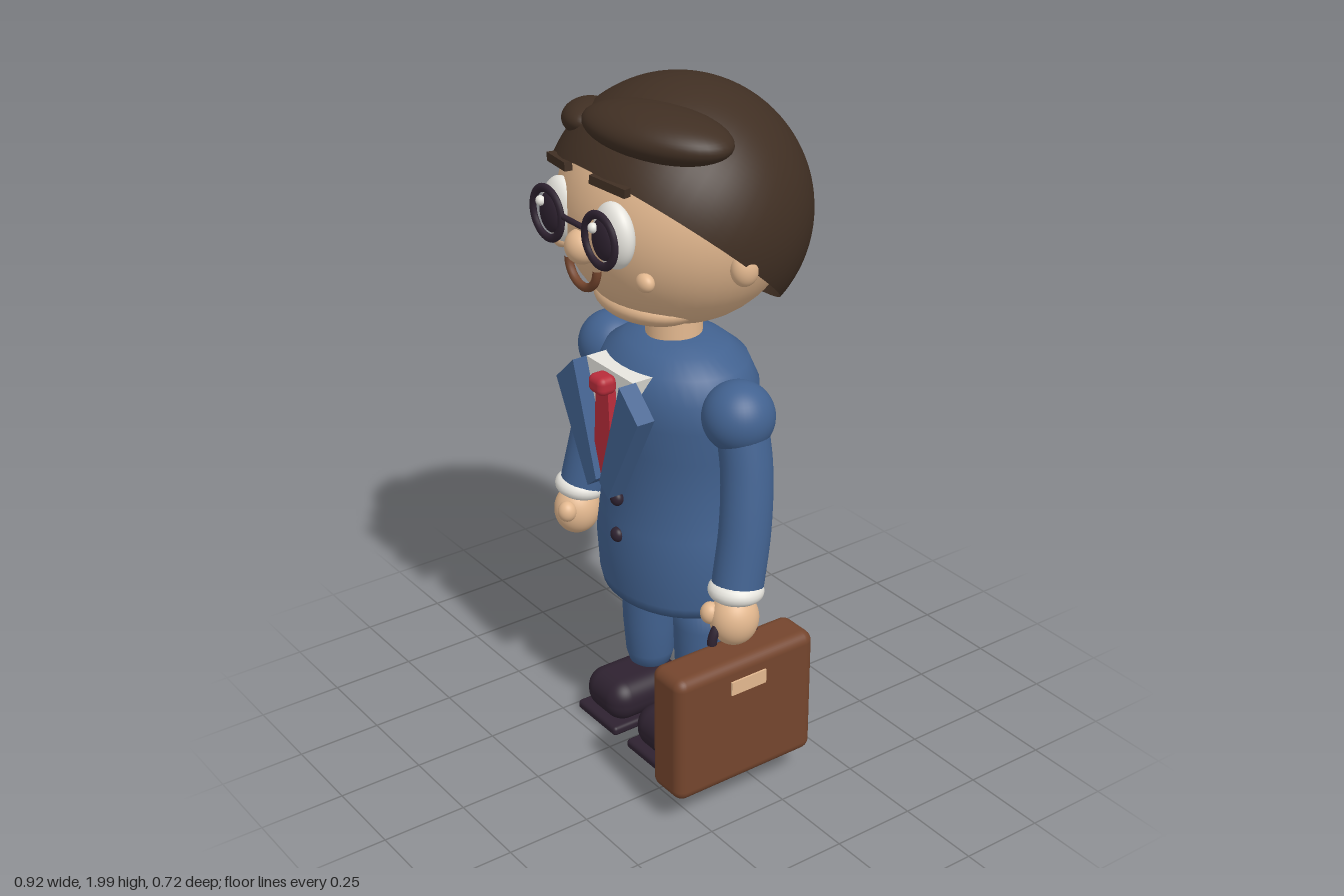
import * as THREE from 'three';
import { RoundedBoxGeometry } from 'three/addons/geometries/RoundedBoxGeometry.js';

const mat = (name, color, side = THREE.FrontSide) => {
  const m = new THREE.MeshStandardMaterial({ color, side });
  m.name = name;
  return m;
};

export function createModel() {
  const skin = mat('skin', 0xe3b88f);
  const hair = mat('hair brown', 0x402f23, THREE.DoubleSide);
  const suit = mat('suit blue', 0x426290);
  const white = mat('off white', 0xefede6);
  const red = mat('tie red', 0xb82c3a);
  const dark = mat('dark plum', 0x2e2230);
  const leather = mat('leather brown', 0x74452d);

  const model = new THREE.Group();
  model.name = 'businessman';

  const add = (name, geo, material, pos = [0, 0, 0], rot = [0, 0, 0], scale = [1, 1, 1]) => {
    const m = new THREE.Mesh(geo, material);
    m.name = name;
    m.position.set(...pos);
    m.rotation.set(...rot);
    m.scale.set(...scale);
    model.add(m);
    return m;
  };
  const ball = new THREE.SphereGeometry(1, 40, 28);
  const ellipsoid = (name, material, pos, radii, rot) => add(name, ball, material, pos, rot, radii);
  const box = (name, material, size, pos, rot) => add(name, new THREE.BoxGeometry(...size), material, pos, rot);
  const lathe = (pts) => new THREE.LatheGeometry(pts.map(([r, y]) => new THREE.Vector2(r, y)), 40);
  const slab = (pts, depth) => new THREE.ExtrudeGeometry(
    new THREE.Shape(pts.map(([x, y]) => new THREE.Vector2(x, y))), { depth, bevelEnabled: false });

  // Head
  ellipsoid('head', skin, [0, 1.66, 0], [0.335, 0.33, 0.32]);
  ellipsoid('chin', skin, [0, 1.41, 0.1], [0.18, 0.06, 0.13]);
  ellipsoid('nose', skin, [0, 1.6, 0.31], [0.048, 0.048, 0.045]);
  add('neck', new THREE.CylinderGeometry(0.077, 0.08, 0.16, 32), skin, [0, 1.32, 0.015]);
  add('mouth', new THREE.TorusGeometry(0.066, 0.012, 12, 32, Math.PI), leather, [0, 1.552, 0.308], [0, 0, Math.PI]);

  // Hair cap, tilted back, with two tufts
  add('hairCap', new THREE.SphereGeometry(0.36, 48, 32, 0, Math.PI * 2, 0, 1.75), hair,
    [0, 1.64, 0], [-0.7, 0, 0], [1.015, 1, 1]);
  ellipsoid('largeTuft', hair, [0.115, 1.91, 0.15], [0.22, 0.068, 0.125], [0, 0.35, -0.05]);
  ellipsoid('smallTuft', hair, [-0.19, 1.872, 0.155], [0.13, 0.05, 0.07], [0, -0.75, 0.15]);

  // Glasses bridge
  const bridge = add('glassesBridge', new THREE.CylinderGeometry(0.008, 0.008, 0.09, 12), dark,
    [0, 1.672, 0.335], [0, 0, Math.PI / 2]);
  bridge.castShadow = false;

  // Torso, closed at the hem
  add('jacket', lathe([
    [0, 0.5], [0.245, 0.5], [0.253, 0.53], [0.262, 0.65], [0.25, 0.74], [0.238, 0.85],
    [0.245, 0.98], [0.262, 1.08], [0.258, 1.16], [0.225, 1.225], [0.165, 1.265], [0.1, 1.288], [0, 1.29],
  ]), suit, [0, 0, 0.006], [0, 0, 0], [1, 1, 0.81]);
  add('shirtFront', slab([[0.11, 1.225], [-0.11, 1.225], [-0.01, 0.87], [0.01, 0.87]], 0.07),
    white, [0, 0, 0.16]);

  // Tie
  add('tieBlade', slab([
    [0.028, 1.19], [-0.028, 1.19], [-0.045, 0.92], [0, 0.865], [0.045, 0.92],
  ], 0.028), red, [0, 0, 0.228]);
  add('tieKnot', new RoundedBoxGeometry(0.07, 0.055, 0.06, 4, 0.02), red, [0, 1.19, 0.253]);

  // Buttons and pocket square
  for (const y of [0.825, 0.71]) ellipsoid('jacketButton', dark, [0, y, 0.212], [0.022, 0.022, 0.018]);
  box('pocketSquare', white, [0.078, 0.042, 0.04], [-0.165, 1.007, 0.172], [0, -0.15, 0]);

  const arm = (s) => new THREE.TubeGeometry(new THREE.CatmullRomCurve3([
    new THREE.Vector3(s * 0.305, 1.13, 0.015), new THREE.Vector3(s * 0.335, 1.0, 0.018),
    new THREE.Vector3(s * 0.36, 0.84, 0.04), new THREE.Vector3(s * 0.374, 0.67, 0.075),
  ]), 24, 0.072, 24);
  const leg = lathe([
    [0, 0.145], [0.04, 0.148], [0.062, 0.165], [0.072, 0.2], [0.08, 0.3], [0.084, 0.42], [0.084, 0.53], [0, 0.53],
  ]);

  // Mirrored parts
  for (const s of [-1, 1]) {
    const side = s > 0 ? 'left' : 'right';
    const n = (part) => side + part;

    // Face
    ellipsoid(n('Ear'), skin, [s * 0.33, 1.58, 0.03], [0.035, 0.05, 0.04]);
    ellipsoid(n('Cheek'), skin, [s * 0.195, 1.547, 0.247], [0.03, 0.026, 0.022]);
    ellipsoid(n('Eye'), white, [s * 0.12, 1.663, 0.29], [0.075, 0.09, 0.042]);
    ellipsoid(n('Pupil'), dark, [s * 0.122, 1.66, 0.325], [0.046, 0.056, 0.018]);
    ellipsoid(n('EyeGlint'), white, [s * 0.122 - 0.02, 1.69, 0.343], [0.014, 0.014, 0.013]);
    add(n('GlassesRim'), new THREE.TorusGeometry(0.068, 0.012, 12, 40), dark,
      [s * 0.122, 1.66, 0.336], [0, 0, 0], [1, 1, 0.7]);
    box(n('Eyebrow'), hair, [0.125, 0.024, 0.022], [s * 0.115, 1.797, 0.298], [0, s * 0.2, -s * 0.08]);

    // Lapel
    const lapel = [[-0.11, 1.225], [-0.195, 1.145], [-0.05, 0.865], [-0.008, 0.9]];
    add(n('Lapel'), slab(lapel.map(([x, y]) => [-s * x, y]), 0.055), suit, [0, 0, 0.22]);

    // Arm
    ellipsoid(n('Shoulder'), suit, [s * 0.295, 1.14, 0.017], [0.1, 0.1, 0.1]);
    add(n('Sleeve'), arm(s), suit);
    add(n('Cuff'), new THREE.TorusGeometry(0.051, 0.027, 16, 36), white,
      [s * 0.378, 0.668, 0.082], [Math.PI / 2 - 0.1, s * 0.06, 0]);
    ellipsoid(n('Hand'), skin, [s * 0.386, 0.587, 0.093], [0.066, 0.078, 0.07]);
    ellipsoid(n('Thumb'), skin, [s * 0.353, 0.606, 0.15], [0.028, 0.032, 0.028]);

    // Leg and shoe
    add(n('Trouser'), leg, suit, [s * 0.13, 0, 0.01]);
    add(n('Shoe'), new RoundedBoxGeometry(0.19, 0.13, 0.27, 8, 0.06), dark, [s * 0.127, 0.088, 0.065]);
    add(n('Sole'), new RoundedBoxGeometry(0.196, 0.03, 0.295, 3, 0.012), dark, [s * 0.127, 0.021, 0.065]);
  }

  // Briefcase in the left hand
  add('briefcase', new RoundedBoxGeometry(0.136, 0.39, 0.47, 4, 0.032), leather, [0.388, 0.296, 0.095]);
  box('briefcaseLabel', skin, [0.009, 0.042, 0.118], [0.457, 0.416, 0.096]);
  add('briefcaseHandle', new THREE.TorusGeometry(0.07, 0.014, 12, 32, Math.PI), dark,
    [0.388, 0.53, 0.1], [0, Math.PI / 2, 0]);

  // Stand on the ground
  model.children.forEach((m) => { m.position.y -= 0.004; });
  return model;
}
